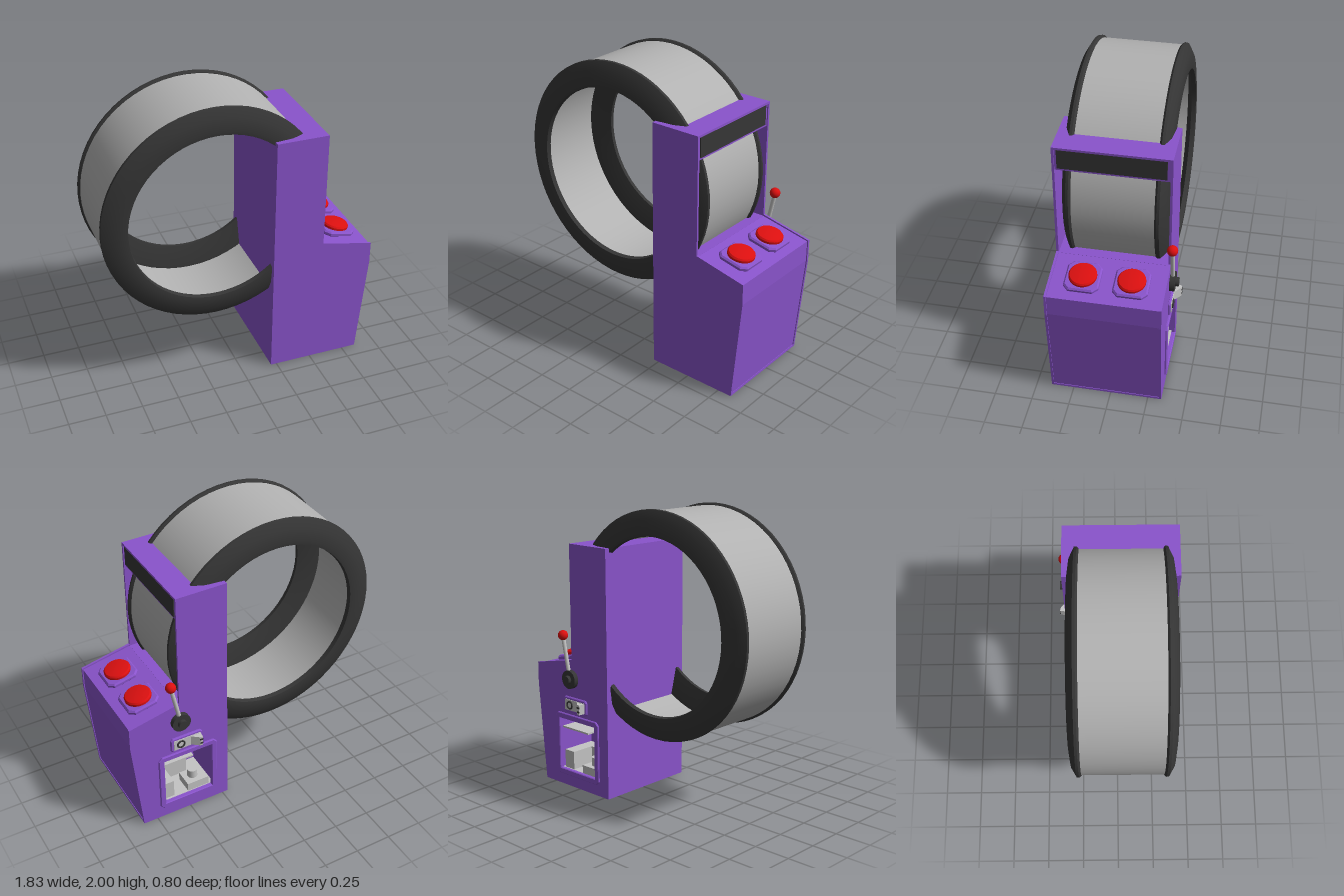
import * as THREE from 'three';
import { toCreasedNormals } from 'three/addons/utils/BufferGeometryUtils.js';

const mat = (name, color, extra = {}) => Object.assign(new THREE.MeshStandardMaterial({ color, ...extra }), { name });

export function createModel() {
  const model = new THREE.Group();
  const purple = mat('cabinet purple', 0x8a54cc);
  const black = mat('rim black', 0x363636);
  const grey = mat('drum grey', 0xb2b2b2, { side: THREE.DoubleSide });
  const red = mat('button red', 0xdd1010);
  const light = mat('metal light grey', 0xc4c4c4);

  const add = (name, geo, material, x = 0, y = 0, z = 0, parent = model) => {
    const m = new THREE.Mesh(geo, material);
    m.name = name;
    m.position.set(x, y, z);
    parent.add(m);
    return m;
  };
  const box = (name, material, x0, x1, y0, y1, z0, z1) =>
    add(name, new THREE.BoxGeometry(x1 - x0, y1 - y0, z1 - z0), material, (x0 + x1) / 2, (y0 + y1) / 2, (z0 + z1) / 2);
  const toPoints = list => list.map(p => new THREE.Vector2(...p));
  // Outline in x and y, given thickness along z
  const slab = (pts, z0, z1, hole, bevel = 0) => {
    const shape = new THREE.Shape(toPoints(pts));
    if (hole) shape.holes.push(new THREE.Path(toPoints(hole)));
    const geo = new THREE.ExtrudeGeometry(shape, {
      depth: z1 - z0 - bevel * 2, bevelEnabled: bevel > 0, bevelSize: bevel,
      bevelThickness: bevel, bevelOffset: -bevel, bevelSegments: 1,
    });
    return geo.translate(0, 0, z0 + bevel);
  };
  // Rectangle with cut corners
  const octagon = (x0, x1, y0, y1, c) => [
    [x0 + c, y0], [x1 - c, y0], [x1, y0 + c], [x1, y1 - c],
    [x1 - c, y1], [x0 + c, y1], [x0, y1 - c], [x0, y0 + c]];

  // Cabinet side panels
  const side = [[0.21, 0], [0.85, 0], [0.915, 0.7], [0.915, 0.85], [0.56, 0.925], [0.56, 1.725], [0.21, 1.725]];
  const hatch = [[0.335, 0.12], [0.335, 0.49], [0.685, 0.49], [0.685, 0.12]];
  add('sidePanelPlain', slab(side, 0.385, 0.4), purple);
  add('sidePanelHatch', slab(side, -0.34, -0.325, hatch), purple);

  // Boards spanning between the side panels
  const boards = {
    backPanel: [[0.21, 0], [0.225, 0], [0.225, 1.725], [0.21, 1.725]],
    topPanel: [[0.21, 1.71], [0.56, 1.71], [0.56, 1.725], [0.21, 1.725]],
    bottomPanel: [[0.21, 0], [0.85, 0], [0.85, 0.015], [0.21, 0.015]],
    frontPanel: [[0.825, 0.005], [0.845, 0.005], [0.908, 0.7], [0.908, 0.842], [0.89, 0.842], [0.89, 0.7]],
    deck: [[0.555, 0.895], [0.908, 0.82], [0.908, 0.842], [0.555, 0.915]],
    innerShelf: [[0.22, 0.895], [0.56, 0.895], [0.56, 0.915], [0.22, 0.915]],
    marqueeFrame: [[0.5, 1.56], [0.552, 1.56], [0.552, 1.715], [0.5, 1.715]],
  };
  for (const [name, pts] of Object.entries(boards)) add(name, slab(pts, -0.325, 0.385), purple);
  box('marqueePanel', black, 0.55, 0.558, 1.575, 1.708, -0.305, 0.37);

  // Big drum wheel running through the cabinet
  const wheel = new THREE.Group();
  wheel.name = 'wheel';
  wheel.position.set(-0.165, 1.25, 0.03);
  model.add(wheel);
  add('drum', new THREE.CylinderGeometry(0.735, 0.735, 0.55, 64, 1, true).rotateX(Math.PI / 2), grey, 0, 0, 0, wheel);
  const rimProfile = toPoints([[0.58, 0.305], [0.72, 0.262], [0.738, 0.262], [0.75, 0.275],
    [0.748, 0.292], [0.69, 0.325], [0.61, 0.338], [0.585, 0.335], [0.58, 0.305]]);
  for (const s of [1, -1]) {
    const geo = new THREE.LatheGeometry(rimProfile, 64).rotateX(s * Math.PI / 2);
    add('wheelRim', toCreasedNormals(geo, 0.45), black, 0, 0, 0, wheel);
  }

  // Two push buttons on the sloping deck
  const bezel = slab(octagon(-0.112, 0.112, -0.112, 0.112, 0.035), 0, 0.035, null, 0.01).rotateX(-Math.PI / 2);
  const cap = toCreasedNormals(new THREE.LatheGeometry(toPoints(
    [[0.09, 0.03], [0.09, 0.05], [0.082, 0.06], [0.05, 0.066], [0, 0.068]]), 32), 0.6);
  for (const z of [0.185, -0.125]) {
    const button = new THREE.Group();
    button.name = 'pushButton';
    button.position.set(0.737, 0.874, z);
    button.rotation.z = -0.207;
    model.add(button);
    add('buttonBezel', bezel, purple, 0, 0, 0, button);
    add('buttonCap', cap, red, 0, 0, 0, button);
  }

  // Pull lever
  const disc = (name, r, depth, material, x, y, z) =>
    add(name, new THREE.CylinderGeometry(r, r, depth, 24).rotateX(Math.PI / 2), material, x, y, z);
  disc('leverHub', 0.065, 0.035, black, 0.56, 0.79, -0.355);
  disc('leverHubCap', 0.03, 0.025, black, 0.56, 0.79, -0.383);
  const rod = new THREE.LineCurve3(new THREE.Vector3(0.56, 0.79, -0.357), new THREE.Vector3(0.622, 1.085, -0.357));
  add('leverRod', new THREE.TubeGeometry(rod, 1, 0.014, 12), light);
  add('leverKnob', new THREE.SphereGeometry(0.035, 24, 16), red, 0.622, 1.092, -0.357);

  // Coin slot
  add('coinPlate', slab(octagon(0.405, 0.635, 0.55, 0.66, 0.015), -0.355, -0.335, null, 0.006), purple);
  box('coinFace', light, 0.425, 0.615, 0.567, 0.643, -0.36, -0.35);
  add('coinRing', new THREE.TorusGeometry(0.025, 0.006, 8, 24), black, 0.565, 0.605, -0.361);
  add('coinChute', new THREE.ExtrudeGeometry(new THREE.Shape(toPoints(
    [[0.42, -0.355], [0.5, -0.355], [0.445, -0.4], [0.425, -0.4]].reverse())),
  { depth: 0.07, bevelEnabled: false }).rotateX(Math.PI / 2), light, 0, 0.64, 0);
  for (const y of [0.59, 0.62]) box('coinChuteGroove', black, 0.424, 0.446, y - 0.006, y + 0.006, -0.403, -0.398);

  // Hatch frame and the compartment behind it
  const frame = slab(octagon(0.295, 0.725, 0.08, 0.53, 0.025), -0.353, -0.335, hatch, 0.005);
  add('hatchFrame', frame, purple);
  box('compartmentBack', purple, 0.3, 0.72, 0.08, 0.53, -0.03, -0.02);
  box('compartmentCeiling', purple, 0.3, 0.72, 0.5, 0.51, -0.325, -0.03);
  for (const x of [0.3, 0.71]) box('compartmentWall', purple, x, x + 0.01, 0.08, 0.51, -0.325, -0.03);
  box('compartmentFloor', light, 0.31, 0.71, 0.09, 0.11, -0.325, -0.03);
  box('compartmentShelf', light, 0.45, 0.71, 0.4, 0.412, -0.3, -0.03);
  box('trayLongArm', light, 0.6, 0.69, 0.11, 0.24, -0.3, -0.05);
  box('trayShortArm', light, 0.42, 0.6, 0.11, 0.24, -0.13, -0.05);
  box('trayBlock', light, 0.34, 0.5, 0.11, 0.17, -0.31, -0.18);
  add('coinStack', new THREE.CylinderGeometry(0.035, 0.035, 0.06, 20), light, 0.43, 0.2, -0.24);

  return model;
}
